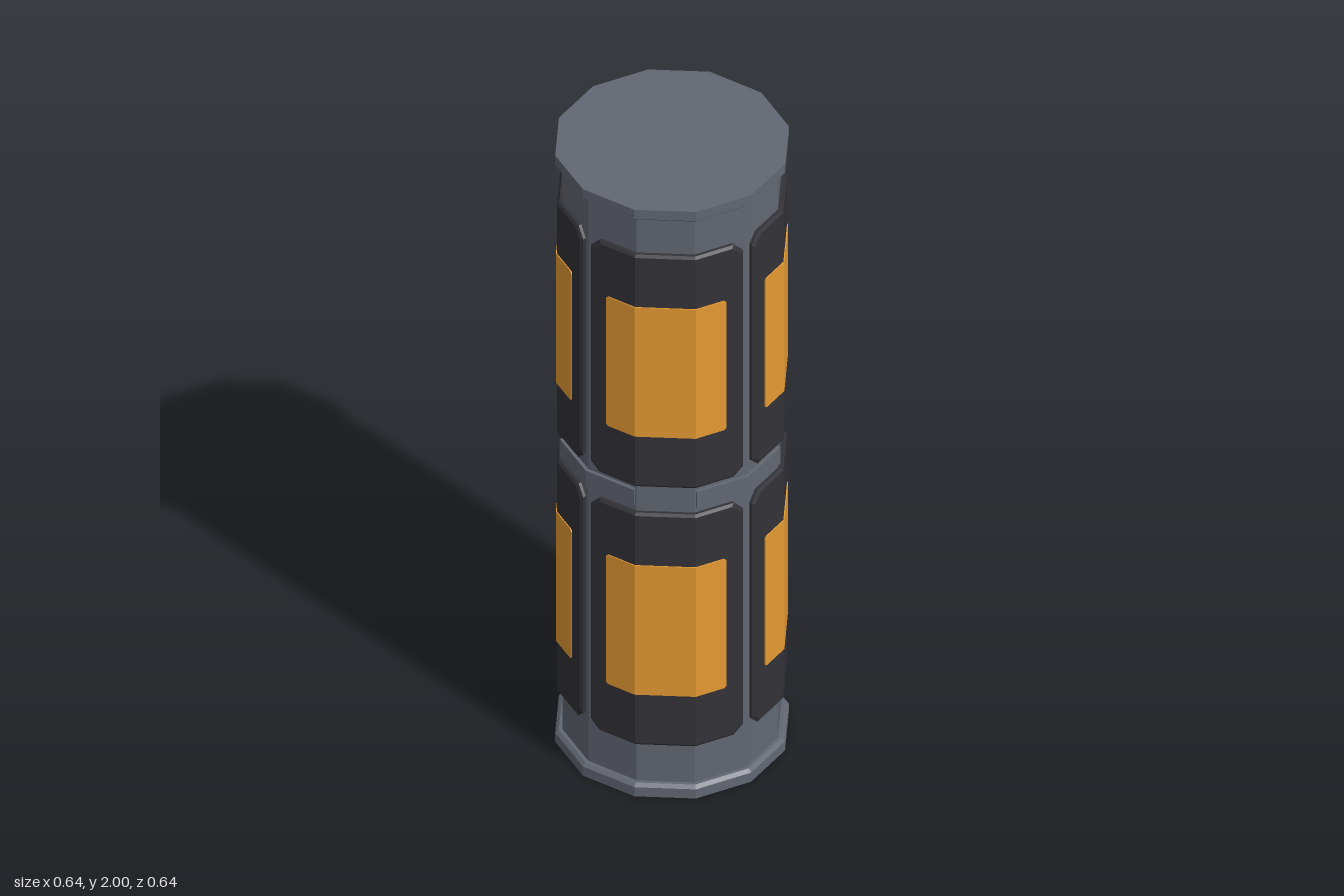
import * as THREE from 'three';

const SIDES = 12;
const FACET = 0.16; // approximate width of one facet

// Point on the twelve-sided outline; u counts facets from the front corner
function onOutline(u, radius, y) {
  const k = Math.floor(u), t = u - k, step = (Math.PI * 2) / SIDES;
  const a = k * step, b = a + step;
  return [
    radius * (Math.sin(a) * (1 - t) + Math.sin(b) * t),
    y,
    radius * (Math.cos(a) * (1 - t) + Math.cos(b) * t),
  ];
}

// Outline of a corner-cut plate: bottom left to right, then top right to left
function plateLoop(u0, u1, y0, y1, cut, inset, radius) {
  const d = inset / FACET, c = cut / FACET;
  const a = u0 + d, b = u1 - d;
  const us = cut ? [a, a + c] : [a];
  for (let k = Math.floor(u0) + 1; k < u1; k++) us.push(k);
  us.push(...(cut ? [b - c, b] : [b]));
  const end = (i) => (i === 0 || i === us.length - 1 ? cut : 0);
  const low = us.map((u, i) => onOutline(u, radius, y0 + inset + end(i)));
  const high = us.map((u, i) => onOutline(u, radius, y1 - inset - end(i)));
  return low.concat(high.reverse());
}

// Plate wrapped round the column; layers are [radius, inset] from back to front
function wrappedPlate(u0, u1, y0, y1, cut, layers) {
  const loops = layers.map(([r, inset]) => plateLoop(u0, u1, y0, y1, cut, inset, r));
  const pos = [];
  const quad = (a, b, c, d) => pos.push(...a, ...b, ...c, ...a, ...c, ...d);
  const n = loops[0].length;
  for (let l = 0; l < loops.length - 1; l++) {
    for (let i = 0; i < n; i++) {
      const j = (i + 1) % n;
      quad(loops[l][i], loops[l][j], loops[l + 1][j], loops[l + 1][i]);
    }
  }
  const face = loops[loops.length - 1];
  for (let i = 0; i < n / 2 - 1; i++) {
    quad(face[i], face[i + 1], face[n - 2 - i], face[n - 1 - i]);
  }
  const geometry = new THREE.BufferGeometry();
  geometry.setAttribute('position', new THREE.Float32BufferAttribute(pos, 3));
  geometry.computeVertexNormals();
  return geometry;
}

// Faceted solid of revolution
function facetedLathe(profile) {
  const points = profile.map(([x, y]) => new THREE.Vector2(x, y));
  const geometry = new THREE.LatheGeometry(points, SIDES).toNonIndexed();
  geometry.computeVertexNormals();
  return geometry;
}

export function createModel() {
  const model = new THREE.Group();
  const mat = (name, color) => {
    const m = new THREE.MeshStandardMaterial({ color });
    m.name = name;
    return m;
  };
  const steel = mat('steel grey', 0x626772);
  const dark = mat('dark panel', 0x323238);
  const amber = mat('amber', 0xe69a32);
  const add = (name, geometry, material) => {
    const mesh = new THREE.Mesh(geometry, material);
    mesh.name = name;
    model.add(mesh);
    return mesh;
  };

  // Column and its two rimmed ends
  add('body', facetedLathe([[0.302, 0.02], [0.302, 1.98]]), steel);
  add('bottomCap', facetedLathe([[0, 0], [0.322, 0], [0.322, 0.031], [0.312, 0.04], [0.3, 0.04]]), steel);
  add('topCap', facetedLathe([[0.3, 1.96], [0.312, 1.96], [0.322, 1.969], [0.322, 2], [0, 2]]), steel);

  // Two tiers of four bevelled panels, each with an amber window
  const tiers = [
    { name: 'lower', y: 0.17 },
    { name: 'upper', y: 1.05 },
  ];
  for (const { name, y } of tiers) {
    const panel = wrappedPlate(0.1, 2.9, y, y + 0.79, 0.028, [[0.295, 0], [0.311, 0], [0.317, 0.008]]);
    const window = wrappedPlate(0.44, 2.56, y + 0.175, y + 0.615, 0.006, [[0.313, 0], [0.32, 0]]);
    for (let q = 0; q < 4; q++) {
      add(name + 'Panel', panel, dark).rotation.y = (q * Math.PI) / 2;
      add(name + 'Window', window, amber).rotation.y = (q * Math.PI) / 2;
    }
  }

  // Waist clasps between the tiers
  const clasp = wrappedPlate(-0.97, 0.97, 0.98, 1.035, 0, [[0.295, 0], [0.312, 0]]);
  for (let q = 0; q < 4; q++) {
    add('waistClasp', clasp, steel).rotation.y = (q * Math.PI) / 2;
  }
  return model;
}
